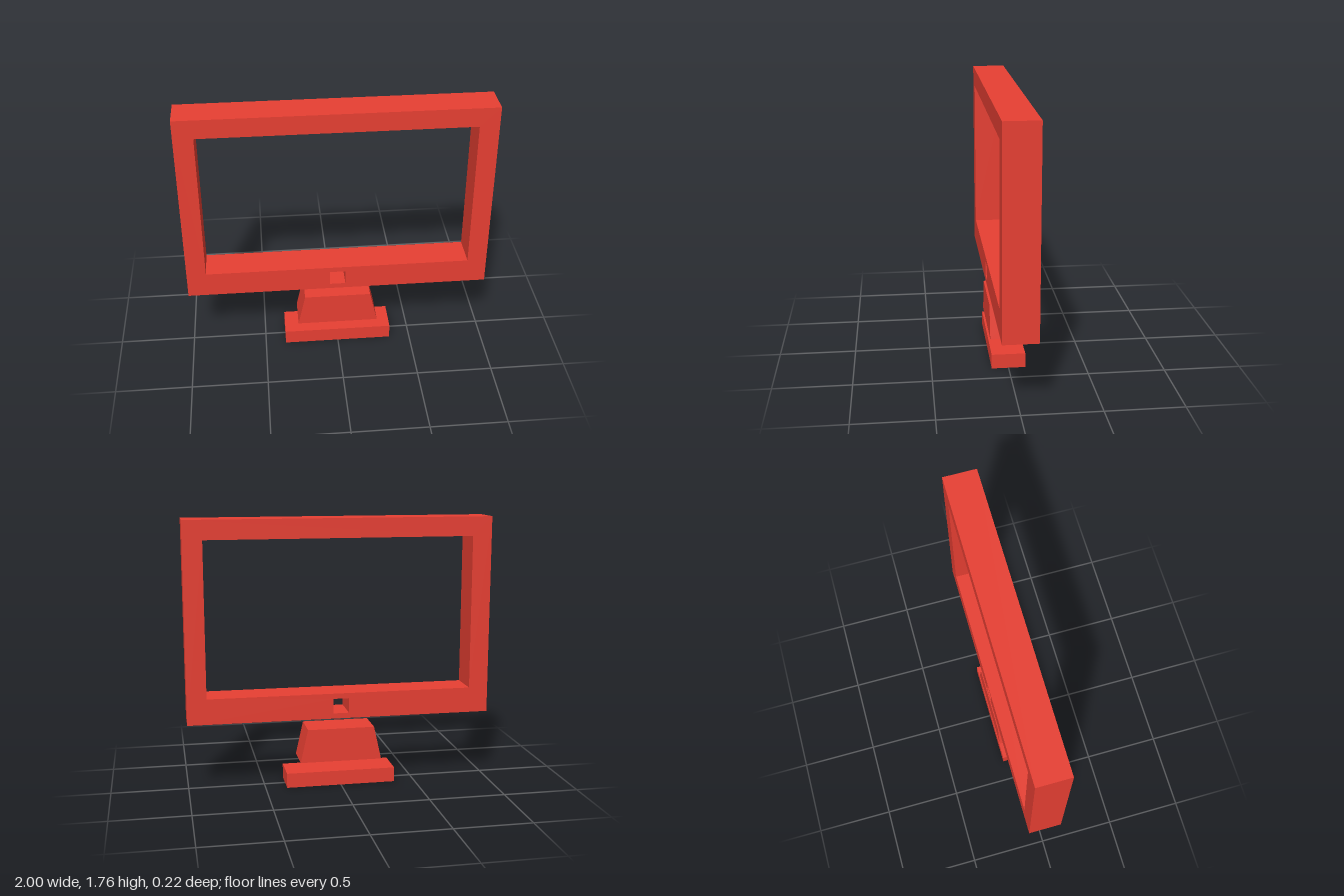
import * as THREE from 'three';

const DEPTH = 0.22;

// Closed polygon from corner points
const polygon = (points, Type = THREE.Shape) =>
  new Type(points.map(([x, y]) => new THREE.Vector2(x, y)));

const rect = (x0, y0, x1, y1) => [[x0, y0], [x1, y0], [x1, y1], [x0, y1]];

export function createModel() {
  const group = new THREE.Group();
  const red = new THREE.MeshStandardMaterial({ color: 0xf44336 });
  red.name = 'red';

  // Every part is a flat outline extruded to the same depth
  function addPart(name, outline, holes = []) {
    const shape = polygon(outline);
    for (const hole of holes) shape.holes.push(polygon(hole, THREE.Path));
    const geometry = new THREE.ExtrudeGeometry(shape, { depth: DEPTH, bevelEnabled: false });
    geometry.translate(0, 0, -DEPTH / 2);
    const mesh = new THREE.Mesh(geometry, red);
    mesh.name = name;
    group.add(mesh);
  }

  // Monitor frame with the screen opening and the small button opening
  addPart('screenFrame', rect(-1, 0.457, 1, 1.763), [
    rect(-0.873, 0.625, 0.873, 1.637),
    rect(-0.053, 0.492, 0.05, 0.59),
  ]);

  // Tapered neck, floating between frame and foot
  addPart('standNeck', [[-0.272, 0.165], [0.27, 0.165], [0.22, 0.387], [-0.223, 0.387]]);

  // Flat foot
  addPart('standFoot', rect(-0.363, 0, 0.361, 0.097));

  return group;
}
